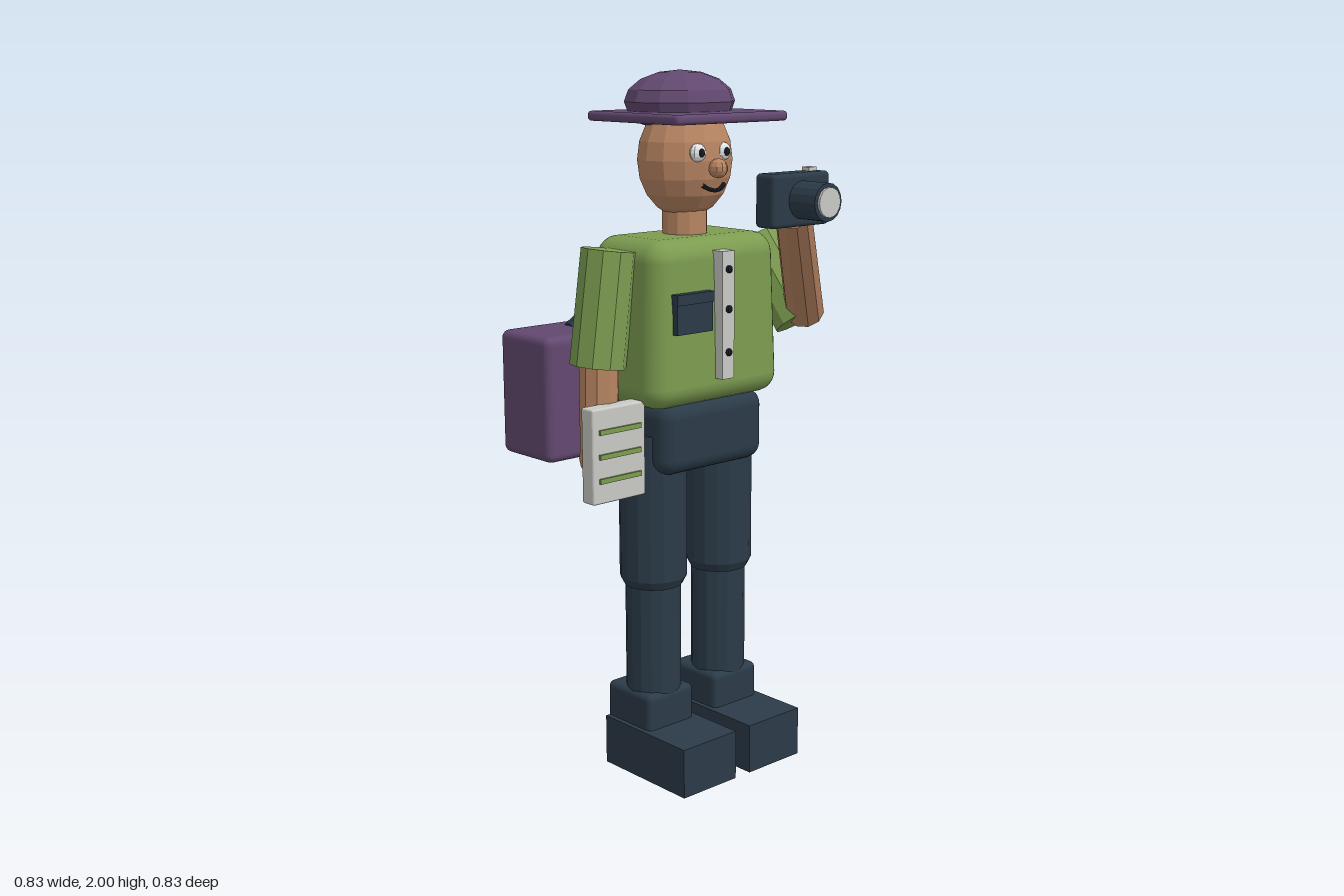
import * as THREE from 'three';
import { RoundedBoxGeometry } from 'three/addons/geometries/RoundedBoxGeometry.js';

const material = (name, color, flatShading = false) => {
  const m = new THREE.MeshStandardMaterial({ color, flatShading });
  m.name = name;
  return m;
};

export function createModel() {
  const group = new THREE.Group();
  const green = material('shirt green', 0x7c9c50, true);
  const purple = material('plum', 0x62486f, true);
  const navy = material('navy', 0x2b3b48, true);
  const skin = material('skin', 0xb88562, true);
  const pale = material('pale grey', 0xc9cac5, true);
  const white = material('eye white', 0xe4e6e6, true);
  const dark = material('dark', 0x171c22, true);

  const add = (name, geometry, mat, x = 0, y = 0, z = 0) => {
    const mesh = new THREE.Mesh(geometry, mat);
    mesh.name = name;
    mesh.position.set(x, y, z);
    group.add(mesh);
    return mesh;
  };
  // Box given by its limits, with optional rounded edges
  const box = (name, mat, [x0, x1], [y0, y1], [z0, z1], r = 0) => {
    const s = [x1 - x0, y1 - y0, z1 - z0];
    const g = r ? new RoundedBoxGeometry(...s, 3, r) : new THREE.BoxGeometry(...s);
    return add(name, g, mat, (x0 + x1) / 2, (y0 + y1) / 2, (z0 + z1) / 2);
  };
  const ball = (name, mat, [x, y, z], [rx, ry, rz], w = 12, h = 8) =>
    add(name, new THREE.SphereGeometry(1, w, h).scale(rx, ry, rz), mat, x, y, z);
  // Round bar from point a to point b
  const bar = (name, mat, a, b, ra, rb = ra, sides = 12) => {
    const p = new THREE.Vector3(...a), q = new THREE.Vector3(...b);
    const d = q.clone().sub(p);
    const mid = p.clone().add(q).multiplyScalar(0.5);
    const mesh = add(name, new THREE.CylinderGeometry(rb, ra, d.length(), sides), mat, mid.x, mid.y, mid.z);
    mesh.quaternion.setFromUnitVectors(new THREE.Vector3(0, 1, 0), d.normalize());
    return mesh;
  };

  // Legs and shoes
  for (const [side, x] of [['right', -0.107], ['left', 0.148]]) {
    bar(side + 'Thigh', navy, [x, 0.585, -0.123], [x, 1.01, -0.123], 0.097, 0.097, 16);
    bar(side + 'Knee', navy, [x, 0.56, -0.123], [x, 0.585, -0.123], 0.084, 0.097, 16);
    bar(side + 'Shin', navy, [x, 0.2, -0.125], [x, 0.58, -0.125], 0.08, 0.08, 16);
    box(side + 'Ankle', navy, [x - 0.086, x + 0.086], [0.095, 0.25], [-0.235, -0.045], 0.018);
    box(side + 'Shoe', navy, [x - 0.1, x + 0.1], [0, 0.145], [-0.225, 0.118]);
  }

  // Hips and slightly tapered torso
  const smooth = { green: material('smooth shirt green', 0x7c9c50), navy: material('smooth navy', 0x2b3b48) };
  box('hips', smooth.navy, [-0.17, 0.21], [0.9, 1.105], [-0.258, 0.01], 0.045);
  const torso = box('torso', smooth.green, [-0.226, 0.262], [1.093, 1.555], [-0.275, 0.03], 0.06);
  const pos = torso.geometry.attributes.position;
  for (let i = 0; i < pos.count; i++) {
    const k = 0.965 - 0.15 * pos.getY(i);
    pos.setX(i, pos.getX(i) * Math.min(1, k));
    pos.setZ(i, pos.getZ(i) * Math.min(1, k));
  }

  // Shirt front
  box('placket', pale, [-0.004, 0.041], [1.165, 1.52], [0.0, 0.055]);
  for (const y of [1.47, 1.36, 1.24]) ball('button', dark, [0.018, y, 0.058], [0.011, 0.011, 0.009], 8, 6);
  box('chestPocket', navy, [-0.158, -0.028], [1.304, 1.41], [0.0, 0.043]);
  box('pocketFlap', navy, [-0.16, -0.026], [1.385, 1.414], [0.0, 0.047]);

  // Neck and head
  bar('neck', skin, [0.02, 1.52, -0.125], [0.02, 1.65, -0.125], 0.064);
  ball('head', skin, [0.02, 1.76, -0.123], [0.142, 0.163, 0.125], 14, 10);
  ball('nose', skin, [0.02, 1.74, 0.012], [0.026, 0.027, 0.028], 10, 7);
  for (const x of [-0.033, 0.06]) {
    ball('eye', white, [x, 1.783, -0.013], [0.026, 0.025, 0.018], 10, 8);
    ball('pupil', dark, [x, 1.783, 0.004], [0.011, 0.012, 0.006], 8, 6);
  }
  const smile = new THREE.QuadraticBezierCurve3(
    new THREE.Vector3(-0.02, 1.695, -0.008), new THREE.Vector3(0.02, 1.665, 0.012), new THREE.Vector3(0.06, 1.695, -0.008));
  add('mouth', new THREE.TubeGeometry(smile, 8, 0.006, 6), dark);

  // Hat
  box('hatBrim', purple, [-0.185, 0.226], [1.863, 1.89], [-0.3, 0.075], 0.011);
  ball('hatCrown', purple, [0.02, 1.915, -0.143], [0.162, 0.085, 0.145], 12, 8);

  // Lowered arm with notebook
  bar('rightSleeve', green, [-0.255, 1.53, -0.125], [-0.295, 1.215, -0.13], 0.076, 0.078, 10);
  bar('rightForearm', skin, [-0.29, 1.25, -0.13], [-0.298, 0.97, -0.128], 0.057, 0.052, 10);
  ball('rightHand', skin, [-0.298, 0.96, -0.125], [0.056, 0.06, 0.056], 10, 8);
  box('notebook', pale, [-0.387, -0.202], [0.855, 1.12], [-0.092, -0.042], 0.006);
  for (const y of [0.92, 0.987, 1.055])
    box('notebookLine', green, [-0.366, -0.222], [y - 0.007, y + 0.007], [-0.043, -0.035]);

  // Raised arm
  bar('leftSleeve', green, [0.3, 1.515, -0.13], [0.335, 1.292, 0.018], 0.073, 0.077, 10);
  bar('leftForearm', skin, [0.345, 1.315, 0.03], [0.085, 1.63, 0.235], 0.056, 0.05, 10);
  ball('leftHand', skin, [0.085, 1.645, 0.24], [0.056, 0.056, 0.052], 10, 8);

  // Camera
  box('cameraBody', navy, [-0.068, 0.142], [1.605, 1.745], [0.243, 0.314], 0.012);
  bar('cameraLens', navy, [0.037, 1.675, 0.3], [0.037, 1.675, 0.406], 0.05, 0.05, 16);
  bar('lensGlass', pale, [0.037, 1.675, 0.405], [0.037, 1.675, 0.413], 0.039, 0.039, 16);
  box('shutterButton', pale, [0.09, 0.117], [1.74, 1.755], [0.26, 0.286]);

  // Shoulder bag and strap
  box('shoulderBag', purple, [-0.415, -0.17], [0.945, 1.295], [-0.415, -0.198], 0.022);
  bar('bagStrap', navy, [-0.23, 1.285, -0.328], [0.185, 1.555, -0.314], 0.023, 0.021, 10);

  return group;
}
